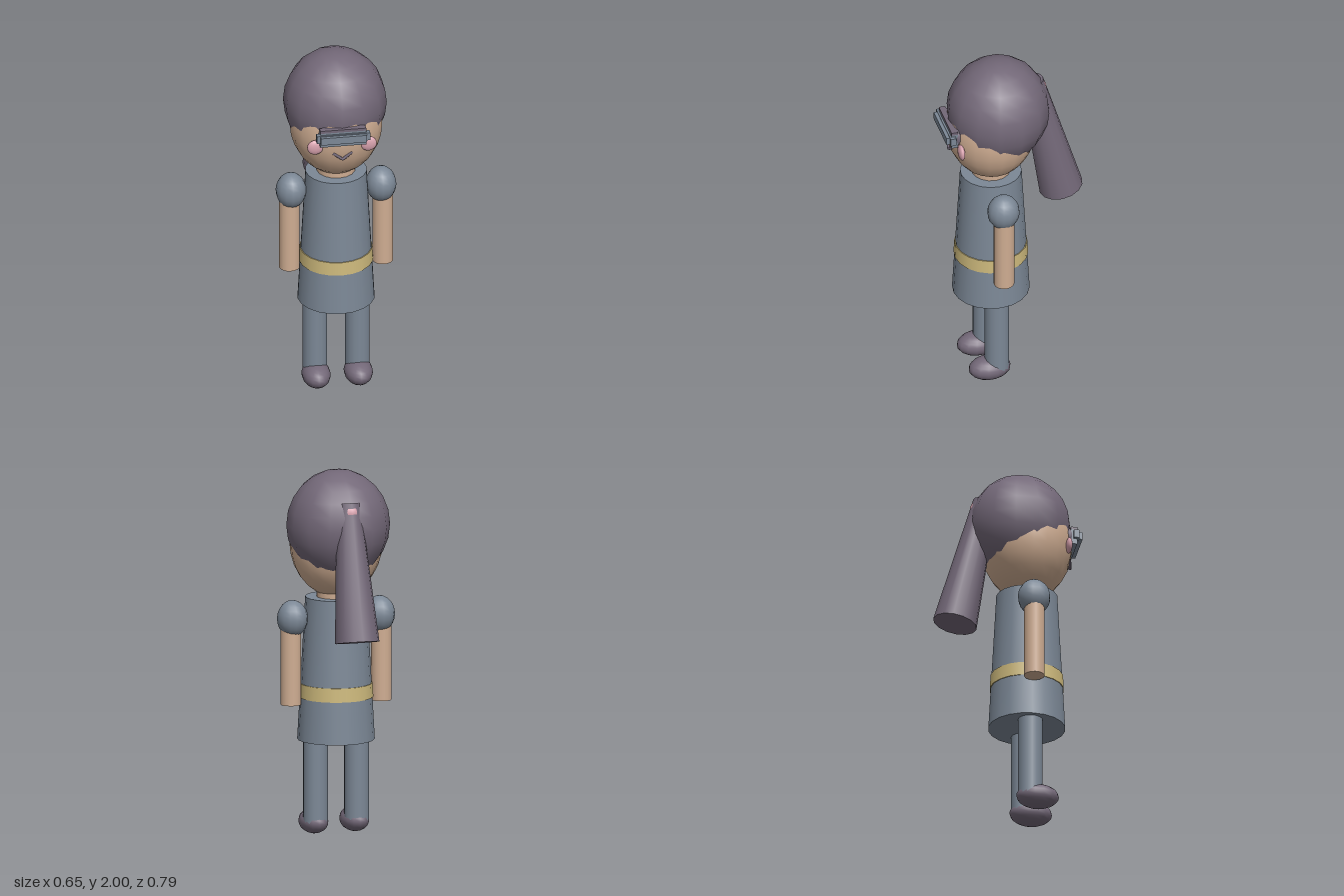
import * as THREE from 'three';

const mat = (name, color) => Object.assign(new THREE.MeshStandardMaterial({ color }), { name });

export function createModel() {
  const slate = mat('slate cloth', 0x7c8896);
  const hair = mat('dark plum', 0x736878);
  const skin = mat('skin', 0xcfad92);
  const pink = mat('pink', 0xd8a2ae);
  const gold = mat('belt yellow', 0xcdb97c);

  const model = new THREE.Group();
  model.name = 'figure';
  const Z = 0.11; // body axis

  const add = (name, geometry, material, x, y, z) => {
    const mesh = new THREE.Mesh(geometry, material);
    mesh.name = name;
    mesh.position.set(x, y, z);
    model.add(mesh);
    return mesh;
  };
  const ball = (rx, ry, rz, seg = 14, rows = 12) =>
    new THREE.SphereGeometry(1, seg, rows).rotateY(Math.PI / 2).scale(rx, ry, rz);
  const tube = (top, bottom, h, seg = 16) => new THREE.CylinderGeometry(top, bottom, h, seg);
  const box = (w, h, d) => new THREE.BoxGeometry(w, h, d);

  // Head: the hair cap overlaps the face, giving the fringe line
  add('face', ball(0.252, 0.3, 0.245, 20, 14), skin, 0, 1.6, Z);
  add('hairCap', ball(0.28, 0.3, 0.28), hair, 0, 1.7, 0.07);
  add('neck', tube(0.105, 0.105, 0.1), skin, 0, 1.31, Z);

  // Ponytail and its tie
  const tail = add('ponytail', tube(0.065, 0.12, 0.75, 14), hair, 0, 1.48, -0.2);
  tail.rotation.x = 0.22;
  add('hairTie', ball(0.055, 0.055, 0.055), pink, 0, 1.8, -0.145);

  // Visor
  add('visorFrame', box(0.25, 0.085, 0.035), slate, 0, 1.6225, 0.3475);
  add('visorBar', box(0.29, 0.045, 0.03), slate, 0, 1.6325, 0.36);
  add('visorLens', box(0.25, 0.042, 0.02), slate, 0, 1.63, 0.384);
  add('visorTrim', box(0.25, 0.015, 0.035), hair, 0, 1.6725, 0.3475);

  // Mouth
  const smile = new THREE.CurvePath();
  const pts = [[-0.052, 1.524, 0.335], [0, 1.488, 0.346], [0.052, 1.524, 0.335]]
    .map((p) => new THREE.Vector3(...p));
  smile.add(new THREE.LineCurve3(pts[0], pts[1]));
  smile.add(new THREE.LineCurve3(pts[1], pts[2]));
  add('mouth', new THREE.TubeGeometry(smile, 8, 0.008, 6), hair, 0, 0, 0);

  // Tunic and belt
  add('tunic', tube(0.166, 0.209, 0.78, 20), slate, 0, 0.91, Z);
  add('belt', tube(0.197, 0.201, 0.076, 20), gold, 0, 0.79, Z);

  // Mirrored parts
  for (const [side, s] of [['left', 1], ['right', -1]]) {
    add(side + 'Eye', ball(0.032, 0.05, 0.025), hair, s * 0.098, 1.63, 0.325);
    add(side + 'Cheek', ball(0.045, 0.043, 0.018), pink, s * 0.145, 1.558, 0.317);
    add(side + 'Sleeve', ball(0.083, 0.1, 0.088), slate, s * 0.245, 1.19, Z);
    add(side + 'Arm', tube(0.056, 0.056, 0.48), skin, s * 0.254, 0.96, Z);
    add(side + 'Leg', tube(0.067, 0.067, 0.49), slate, s * 0.116, 0.315, Z);
    add(side + 'Shoe', ball(0.078, 0.066, 0.116), hair, s * 0.115, 0.069, 0.15);
  }
  return model;
}
